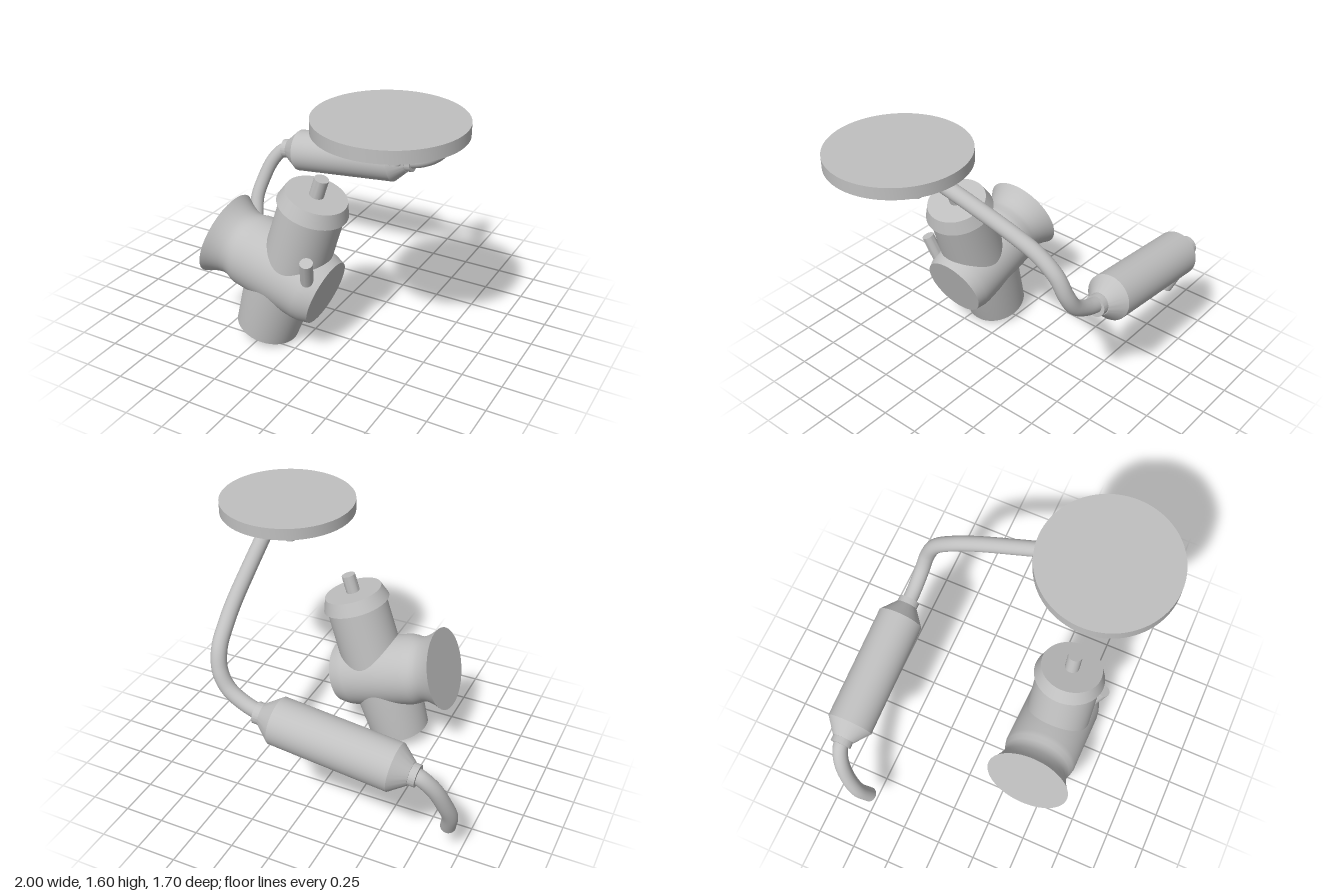
import * as THREE from 'three';
import { toCreasedNormals } from 'three/addons/utils/BufferGeometryUtils.js';

const steel = new THREE.MeshStandardMaterial({ color: 0xc0c0c0 });
steel.name = 'grey steel';

const vec = (p) => new THREE.Vector3(...p);

function part(name, geometry, parent, position = [0, 0, 0]) {
  const mesh = new THREE.Mesh(geometry, steel);
  mesh.name = name;
  mesh.position.set(...position);
  parent.add(mesh);
  return mesh;
}

// Closed turned solid: profile is [radius, height] from bottom to top
function turned(profile, segments = 64) {
  const first = profile[0], last = profile[profile.length - 1];
  const points = [[0, first[1]], ...profile, [0, last[1]]].map(([r, y]) => new THREE.Vector2(r, y));
  return toCreasedNormals(new THREE.LatheGeometry(points, segments), 0.5);
}

// Round pipe along a smooth path, closed by a disc at each end
function pipe(name, path, radius, parent) {
  const group = new THREE.Group();
  group.name = name;
  const curve = new THREE.CatmullRomCurve3(path.map(vec), false, 'centripetal');
  part(name + 'Tube', new THREE.TubeGeometry(curve, 96, radius, 32), group);
  for (const t of [0, 1]) {
    const end = part(name + 'End', new THREE.CircleGeometry(radius, 32), group, curve.getPoint(t).toArray());
    const outward = curve.getTangent(t).multiplyScalar(t ? 1 : -1);
    end.quaternion.setFromUnitVectors(new THREE.Vector3(0, 0, 1), outward);
  }
  parent.add(group);
}

function createCarburettor() {
  const group = new THREE.Group();
  group.name = 'carburettor';
  group.position.z = 0.42;
  group.rotation.z = THREE.MathUtils.degToRad(-17.5);

  // Horizontal throat with flared intake, turned along local x
  const throat = part('throat', turned([
    [0.265, -0.70], [0.246, -0.67], [0.23, -0.638], [0.217, -0.605], [0.209, -0.57],
    [0.213, -0.54], [0.224, -0.51], [0.23, -0.48], [0.23, -0.06], [0.225, -0.02], [0.206, 0.04],
  ]), group, [0, 0.447, 0]);
  throat.rotation.z = -Math.PI / 2;

  // Upper barrel, cap and spindle
  const upper = -0.206, lower = -0.254;
  part('upperBarrel', turned([[0.203, 0.45], [0.197, 0.97]]), group, [upper, 0, 0]);
  part('cap', turned([[0.217, 0.95], [0.187, 1.035]]), group, [upper, 0, 0]);
  part('spindle', turned([[0.044, 1.0], [0.044, 1.15]], 32), group, [upper, 0, 0]);

  // Float bowl and drain nut
  part('floatBowl', turned([[0.196, 0], [0.214, 0.25], [0.214, 0.447]]), group, [lower, 0, 0]);
  part('drainNut', new THREE.CylinderGeometry(0.042, 0.042, 0.09, 6).toNonIndexed(), group, [lower, -0.015, 0]);
  return group;
}

function createMuffler() {
  const muffler = part('muffler', turned([
    [0.066, -0.50], [0.066, -0.46], [0.07, -0.46], [0.144, -0.365],
    [0.144, 0.37], [0.07, 0.465], [0.066, 0.465], [0.066, 0.505],
  ]), new THREE.Group(), [-0.305, 0.772, -0.71]);
  muffler.rotation.z = -Math.PI / 2 + 0.11;
  return muffler;
}

export function createModel() {
  const model = new THREE.Group();
  model.name = 'carburettorAndExhaust';

  // Round plate with six studs underneath
  const plate = new THREE.Group();
  plate.name = 'roundPlate';
  plate.position.set(0.57, 0, 0.42);
  part('disc', turned([[0.43, 1.535], [0.43, 1.61]], 96), plate);
  for (let i = 0; i < 6; i++) {
    const a = (i * Math.PI) / 3;
    part('stud', turned([[0.03, 1.507], [0.03, 1.55]], 24), plate,
      [0.365 * Math.cos(a), 0, 0.365 * Math.sin(a)]);
  }
  model.add(plate);

  model.add(createCarburettor());

  // Idle screw leaning out of the front of the throat
  const from = vec([0.12, 0.47, 0.545]), to = vec([0.168, 0.722, 0.635]);
  const axis = to.clone().sub(from);
  const screw = part('idleScrew', turned([[0.039, 0], [0.039, axis.length()]], 32), model, from.toArray());
  screw.quaternion.setFromUnitVectors(new THREE.Vector3(0, 1, 0), axis.normalize());

  // Exhaust: muffler between the header and tail pipes
  model.add(createMuffler());
  pipe('headerPipe', [
    [0.12, 0.815, -0.71], [0.27, 0.86, -0.705], [0.38, 0.93, -0.70], [0.44, 1.03, -0.685],
    [0.465, 1.15, -0.635], [0.48, 1.25, -0.52], [0.50, 1.32, -0.384], [0.53, 1.41, -0.155],
    [0.565, 1.505, 0.11],
  ], 0.047, model);
  pipe('tailPipe', [
    [-0.77, 0.725, -0.71], [-0.82, 0.70, -0.705], [-0.885, 0.62, -0.675], [-0.935, 0.48, -0.62],
    [-0.953, 0.36, -0.565], [-0.93, 0.23, -0.51],
  ], 0.047, model);

  return model;
}
